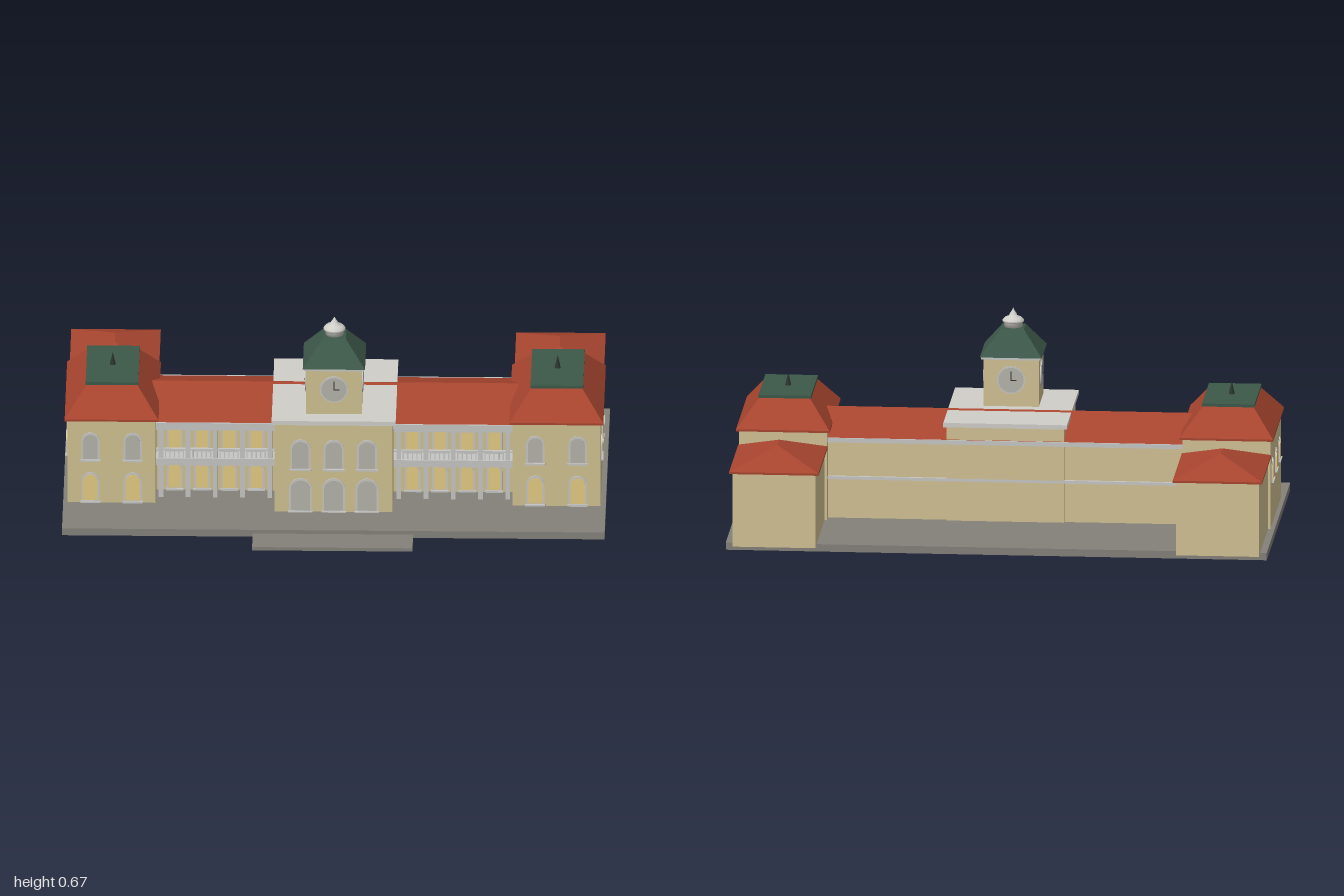
import * as THREE from 'three';

const mat = (name, color, side = THREE.FrontSide) => {
  const m = new THREE.MeshStandardMaterial({ color, side });
  m.name = name;
  return m;
};

export function createModel() {
  const wall = mat('sandstone', 0xd0c192);
  const tile = mat('redTile', 0xa8452f);
  const green = mat('greenCopper', 0x3c5849);
  const paving = mat('paving', 0x84817a);
  const slab = mat('paleRoofing', 0xcfcec9);
  const trim = mat('trim', 0xc6c6c4);
  const glass = mat('paleGlass', 0xb4b3ab);
  const lit = mat('warmGlass', 0xe3c983);
  const dark = mat('darkMetal', 0x2c3631);

  const root = new THREE.Group();
  const building = new THREE.Group();
  building.name = 'building';
  building.rotation.y = THREE.MathUtils.degToRad(47.5);
  root.add(building);

  const add = (name, geo, material, parent = building) => {
    const m = new THREE.Mesh(geo, material);
    m.name = name;
    parent.add(m);
    return m;
  };

  // Box given by its extents
  const box = (name, material, x0, x1, y0, y1, z0, z1, parent) => {
    const m = add(name, new THREE.BoxGeometry(x1 - x0, y1 - y0, z1 - z0), material, parent);
    m.position.set((x0 + x1) / 2, (y0 + y1) / 2, (z0 + z1) / 2);
    return m;
  };

  // Hipped or gabled solid between a lower and an upper rectangle [x0, x1, z0, z1]
  const hip = (name, material, lo, y0, hi, y1, parent) => {
    const ring = ([x0, x1, z0, z1], y) => [[x0, y, z1], [x1, y, z1], [x1, y, z0], [x0, y, z0]];
    const a = ring(lo, y0), b = ring(hi, y1), pos = [];
    const quad = (p, q, r, s) => pos.push(...p, ...q, ...r, ...p, ...r, ...s);
    for (let i = 0; i < 4; i++) {
      const j = (i + 1) % 4;
      quad(a[i], a[j], b[j], b[i]);
    }
    quad(...b);
    quad(a[3], a[2], a[1], a[0]);
    const g = new THREE.BufferGeometry();
    g.setAttribute('position', new THREE.Float32BufferAttribute(pos, 3));
    g.computeVertexNormals();
    return add(name, g, material, parent);
  };

  // Round-headed plate
  const archGeo = (w, h, depth) => {
    const r = w / 2, s = new THREE.Shape();
    s.moveTo(-r, 0);
    s.lineTo(r, 0);
    s.lineTo(r, h - r);
    s.absarc(0, h - r, r, 0, Math.PI, false);
    s.lineTo(-r, 0);
    return new THREE.ExtrudeGeometry(s, { depth, bevelEnabled: false, curveSegments: 8 });
  };

  const archWindow = (x, y, z, w, h, pane, turn = 0, parent = building) => {
    const g = new THREE.Group();
    g.name = 'archedWindow';
    g.position.set(x, y, z);
    g.rotation.y = turn;
    add('windowFrame', archGeo(w, h, 0.003), trim, g);
    add('windowPane', archGeo(w - 0.012, h - 0.012, 0.003), pane, g).position.set(0, 0.005, 0.002);
    box('windowSill', trim, -w / 2 - 0.003, w / 2 + 0.003, -0.004, 0.002, 0, 0.008, g);
    parent.add(g);
  };

  // Ground plate and front step
  box('terrace', paving, -0.895, 0.898, 0, 0.025, -0.471, 0.492);
  box('frontStep', paving, -0.265, 0.265, 0, 0.012, 0.45, 0.598);

  // Long central range
  box('mainRange', wall, -0.6, 0.6, 0.02, 0.29, -0.105, 0.185);
  box('mainCornice', trim, -0.59, 0.59, 0.285, 0.3, -0.122, 0.252);
  box('rearLedge', trim, -0.59, 0.59, 0.158, 0.168, -0.115, -0.1);
  hip('mainRoof', tile, [-0.62, 0.62, -0.117, 0.247], 0.3, [-0.62, 0.62, 0.06, 0.06], 0.364);

  // Two-storey arcades on either side of the entrance block
  for (const s of [-1, 1]) {
    const arcade = new THREE.Group();
    arcade.name = 'arcade';
    building.add(arcade);
    const span = (name, m, y0, y1, z0, z1) =>
      box(name, m, Math.min(s * 0.19, s * 0.6), Math.max(s * 0.19, s * 0.6), y0, y1, z0, z1, arcade);
    span('galleryFloor', trim, 0.152, 0.168, 0.18, 0.247);
    span('galleryRail', trim, 0.195, 0.201, 0.232, 0.242);
    span('upperBeam', trim, 0.27, 0.286, 0.226, 0.244);
    span('lowerBeam', trim, 0.142, 0.154, 0.226, 0.244);
    const bay = 0.09;
    for (let i = 0; i < 5; i++) {
      const x = s * (0.213 + i * bay);
      box('arcadePier', trim, x - 0.008, x + 0.008, 0.025, 0.285, 0.226, 0.243, arcade);
      if (i === 4) continue;
      const c = x + s * bay / 2;
      for (const y of [0.03, 0.172]) archWindow(c, y, 0.185, 0.052, 0.098, lit, 0, arcade);
      for (let k = -2; k <= 2; k++) {
        const b = c + k * 0.015;
        box('baluster', trim, b - 0.002, b + 0.002, 0.168, 0.196, 0.235, 0.239, arcade);
      }
    }
  }

  // Entrance block with flat roof
  box('entranceBlock', wall, -0.195, 0.195, 0.02, 0.346, -0.115, 0.347);
  box('entranceRoof', slab, -0.205, 0.205, 0.345, 0.36, -0.127, 0.358);
  for (const x of [-0.11, 0, 0.11]) {
    archWindow(x, 0.027, 0.347, 0.075, 0.12, glass);
    archWindow(x, 0.18, 0.347, 0.066, 0.108, glass);
  }

  // Corner pavilions and rear wings
  for (const s of [-1, 1]) {
    const p = new THREE.Group();
    p.name = s > 0 ? 'leftPavilion' : 'rightPavilion';
    p.position.x = s * 0.735;
    building.add(p);
    box('pavilionWalls', wall, -0.146, 0.146, 0.02, 0.326, -0.144, 0.288, p);
    box('pavilionEave', tile, -0.155, 0.155, 0.324, 0.331, -0.153, 0.297, p);
    hip('pavilionRoof', tile, [-0.155, 0.155, -0.153, 0.297], 0.331, [-0.083, 0.083, -0.066, 0.21], 0.42, p);
    box('pavilionRoofDeck', green, -0.087, 0.087, 0.419, 0.429, -0.07, 0.214, p);
    const f = add('pavilionFinial', new THREE.ConeGeometry(0.01, 0.045, 8), dark, p);
    f.position.set(0, 0.451, 0.072);
    for (const x of [-0.07, 0.07]) {
      archWindow(x, 0.03, 0.288, 0.06, 0.105, lit, 0, p);
      archWindow(x, 0.18, 0.288, 0.06, 0.1, glass, 0, p);
    }
    for (const z of [-0.068, 0.072, 0.212])
      archWindow(s * 0.146, 0.175, z, 0.055, 0.075, lit, s * Math.PI / 2, p);

    box('rearWingWalls', wall, -0.138, 0.138, 0.02, 0.272, -0.507, -0.13, p);
    box('rearWingEave', tile, -0.148, 0.148, 0.27, 0.277, -0.52, -0.145, p);
    hip('rearWingRoof', tile, [-0.148, 0.148, -0.52, -0.145], 0.277, [0, 0, -0.37, -0.298], 0.335, p);
  }

  // Clock tower
  const tower = new THREE.Group();
  tower.name = 'clockTower';
  tower.position.z = 0.208;
  building.add(tower);
  box('towerWalls', wall, -0.092, 0.092, 0.35, 0.522, -0.092, 0.092, tower);
  box('towerCornice', trim, -0.099, 0.099, 0.519, 0.527, -0.099, 0.099, tower);
  hip('towerRoof', green, [-0.103, 0.103, -0.103, 0.103], 0.527, [-0.038, 0.038, -0.038, 0.038], 0.61, tower);
  for (let i = 0; i < 4; i++) {
    const clock = new THREE.Group();
    clock.name = 'clock';
    clock.rotation.y = i * Math.PI / 2;
    tower.add(clock);
    const disc = (name, r, m, z) => {
      const d = add(name, new THREE.CylinderGeometry(r, r, 0.004, 28), m, clock);
      d.rotation.x = Math.PI / 2;
      d.position.set(0, 0.45, z);
    };
    disc('clockRim', 0.047, trim, 0.093);
    disc('clockFace', 0.042, glass, 0.0945);
    box('minuteHand', dark, -0.0015, 0.0015, 0.448, 0.48, 0.096, 0.098, clock);
    box('hourHand', dark, -0.002, 0.018, 0.4485, 0.4515, 0.096, 0.098, clock);
  }

  // Lantern on top of the tower
  const profile = [[0, 0.608], [0.03, 0.608], [0.03, 0.625], [0.036, 0.627], [0.036, 0.633], [0.028, 0.641],
    [0.014, 0.647], [0.011, 0.655], [0.005, 0.663], [0, 0.673]].map(([x, y]) => new THREE.Vector2(x, y));
  add('towerLantern', new THREE.LatheGeometry(profile, 16), slab, tower);

  return root;
}
